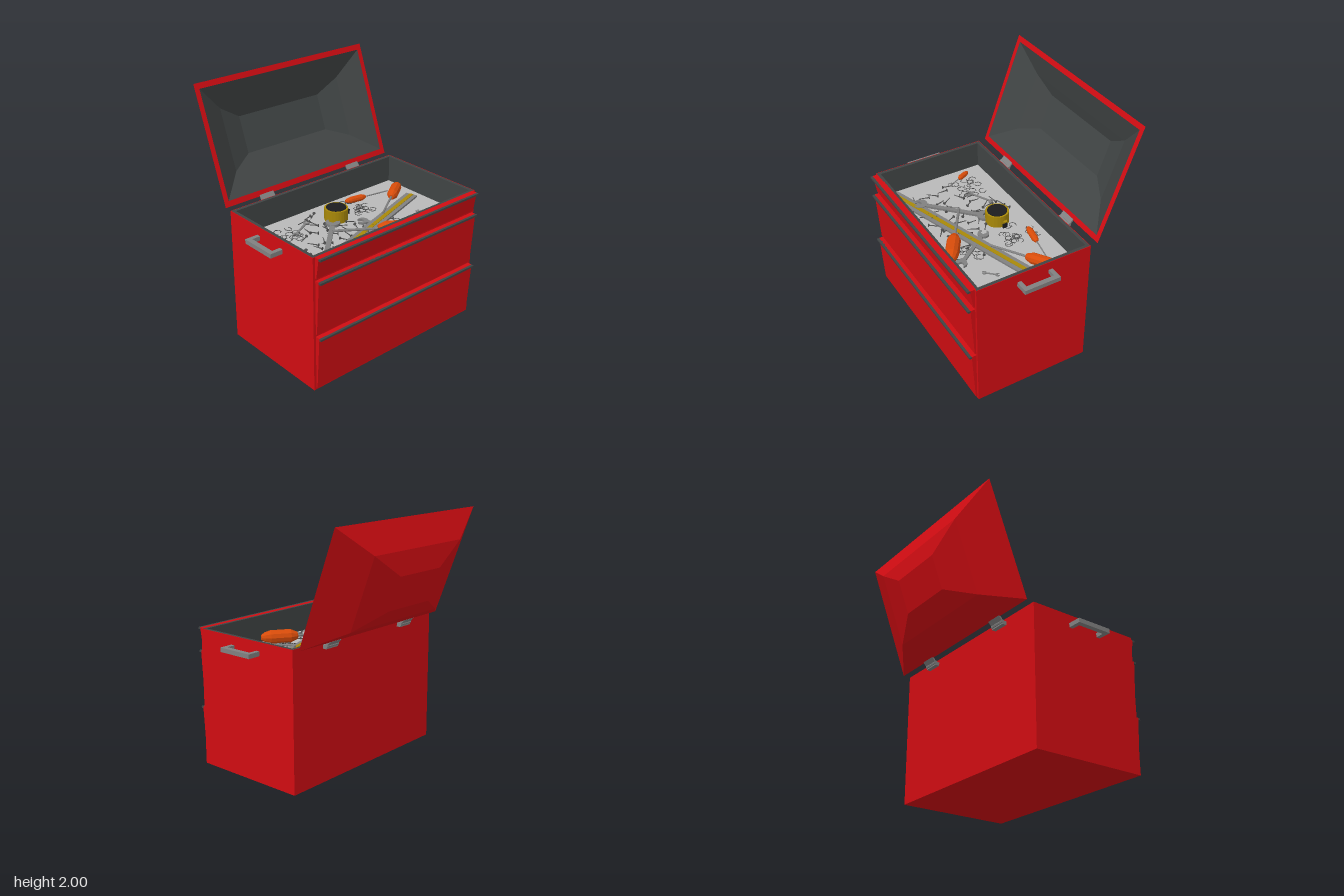
import * as THREE from 'three';
import { mergeGeometries } from 'three/addons/utils/BufferGeometryUtils.js';

const mat = (color, extra = {}) => new THREE.MeshStandardMaterial({ color, flatShading: true, ...extra });
const red = mat(0xd00c12), dark = mat(0x404444), grey = mat(0x808080), pale = mat(0xb8b8b8);
const orange = mat(0xd84c0a), yellow = mat(0xa88808), black = mat(0x1c1c1e), steel = mat(0x505050);

const FLOOR = 0.885, TOP = 1.105, MID_Z = 0.2175;

function add(parent, name, geo, material, x = 0, y = 0, z = 0) {
  const m = new THREE.Mesh(geo, material);
  m.name = name;
  m.position.set(x, y, z);
  parent.add(m);
  return m;
}
const box = (w, h, d) => new THREE.BoxGeometry(w, h, d);

// Upright rectangular frame between two half sizes
function frame(ox, oz, ix, iz, height) {
  const rect = (S, a, b) => new S([[-a, -b], [a, -b], [a, b], [-a, b]].map(p => new THREE.Vector2(...p)));
  const s = rect(THREE.Shape, ox, oz);
  s.holes.push(rect(THREE.Path, ix, iz));
  return new THREE.ExtrudeGeometry(s, { depth: height, bevelEnabled: false }).rotateX(-Math.PI / 2);
}

// Surface through rectangular rings [half width, half height, depth behind the rim]
function loft(rings, centre) {
  const pts = rings.map(([w, h, n]) =>
    [[-w, -h], [w, -h], [w, h], [-w, h]].map(([x, y]) => [x, centre + y, -n]));
  const pos = [];
  for (let r = 0; r + 1 < pts.length; r++) {
    for (let i = 0; i < 4; i++) {
      const j = (i + 1) % 4, a = pts[r], b = pts[r + 1];
      pos.push(...a[i], ...a[j], ...b[j], ...a[i], ...b[j], ...b[i]);
    }
  }
  const g = new THREE.BufferGeometry();
  g.setAttribute('position', new THREE.Float32BufferAttribute(pos, 3));
  g.computeVertexNormals();
  return g;
}

// Group at one floor point whose local +x aims at another; also gives the distance
function layBetween(parent, name, [x0, z0], [x1, z1], y) {
  const g = new THREE.Group();
  g.name = name;
  g.position.set(x0, y, z0);
  g.rotation.y = Math.atan2(z0 - z1, x1 - x0);
  parent.add(g);
  return [g, Math.hypot(x1 - x0, z1 - z0)];
}

function screwdriver(parent, start, neck, tip, r) {
  const [g, len] = layBetween(parent, 'screwdriver', start, tip, FLOOR + r);
  const h = Math.hypot(neck[0] - start[0], neck[1] - start[1]);
  const profile = [[0, 0], [0.4, 0], [0.75, 0.1], [1, 0.25], [1, 0.8], [0.6, 0.97], [0.45, 1], [0, 1]];
  const handle = new THREE.LatheGeometry(profile.map(([a, b]) => new THREE.Vector2(a * r, b * h)), 10);
  add(g, 'screwdriverHandle', handle.rotateZ(-Math.PI / 2), orange);
  const shaft = new THREE.CylinderGeometry(r * 0.2, r * 0.2, len - h, 8).rotateZ(-Math.PI / 2);
  add(g, 'screwdriverShaft', shaft, grey, (len + h) / 2);
  add(g, 'screwdriverTip', box(r * 0.5, r * 0.12, r * 0.5), grey, len - r * 0.25);
}

function wrench(parent, from, to, r) {
  const [g, len] = layBetween(parent, 'wrench', from, to, FLOOR + 0.004);
  const thick = r * 0.4;
  add(g, 'wrenchShaft', box(len - r, thick * 0.8, r * 0.65), grey, len / 2, thick / 2);
  // Open jaw: a disc with a notch
  const jaw = new THREE.Shape();
  jaw.absarc(0, 0, r, 0.5, Math.PI * 2 - 0.5, false);
  jaw.lineTo(r * 0.1, -r * 0.48);
  jaw.lineTo(-r * 0.25, 0);
  jaw.lineTo(r * 0.1, r * 0.48);
  const geo = new THREE.ExtrudeGeometry(jaw, { depth: thick, bevelEnabled: false, curveSegments: 14 }).rotateX(-Math.PI / 2);
  add(g, 'wrenchJaw', geo, grey, len).rotation.y = 0.3;
  add(g, 'wrenchJaw', geo, grey).rotation.y = Math.PI + 0.3;
}

export function createModel() {
  const root = new THREE.Group();
  root.name = 'toolChest';
  let seed = 7;
  const rnd = (a, b) => {
    seed = (seed * 16807) % 2147483647;
    return a + (b - a) * seed / 2147483647;
  };

  // Body: solid base, red walls and dark tray lining
  add(root, 'body', box(1.66, 0.88, 0.965), red, 0, 0.44, MID_Z);
  add(root, 'trayWalls', frame(0.83, 0.4825, 0.826, 0.4785, TOP - 0.88), red, 0, 0.88, MID_Z);
  add(root, 'trayLining', frame(0.826, 0.4785, 0.8, 0.4525, TOP - 0.88), dark, 0, 0.88, MID_Z);
  add(root, 'trayFloor', box(1.6, 0.005, 0.905), pale, 0, FLOOR - 0.0025, MID_Z);

  // Drawer fronts leaning outwards to a dark grip strip
  for (const [top, bottom] of [[TOP, 0.94], [0.92, 0.48], [0.46, 0.02]]) {
    const s = new THREE.Shape([[0.69, bottom], [0.712, bottom], [0.738, top], [0.69, top]].map(p => new THREE.Vector2(...p)));
    const g = new THREE.ExtrudeGeometry(s, { depth: 1.62, bevelEnabled: false }).rotateY(-Math.PI / 2);
    add(root, 'drawerFront', g, red, 0.81);
    add(root, 'drawerGrip', box(1.62, 0.016, 0.025), dark, 0, top - 0.008, 0.745);
  }

  // Open faceted lid
  const lid = new THREE.Group();
  lid.name = 'lid';
  lid.position.set(0, TOP, -0.325);
  lid.rotation.x = -0.358;
  root.add(lid);
  add(lid, 'lidShell', loft([[0, 0, 0.232], [0.24, 0.141, 0.232], [0.52, 0.304, 0.158],
    [0.83, 0.478, 0], [0.79, 0.433, 0]], 0.478), red);
  add(lid, 'lidLining', loft([[0.79, 0.433, 0], [0.59, 0.25, 0.115], [0.4, 0.15, 0.18], [0, 0, 0.18]], 0.478), dark);

  for (const s of [-1, 1]) {
    // Hinge: back plate, knuckle and leaf reaching the lid
    const x = s * 0.445;
    add(root, 'hingePlate', box(0.13, 0.03, 0.035), grey, x, 1.065, -0.2825);
    add(root, 'hingeKnuckle', new THREE.CylinderGeometry(0.015, 0.015, 0.13, 8).rotateZ(Math.PI / 2), grey, x, 1.072, -0.295);
    add(root, 'hingeLeaf', box(0.13, 0.012, 0.055), grey, x, 1.092, -0.312).rotation.x = 0.85;
    // Side handle: two arms and a grip
    add(root, 'handleGrip', box(0.04, 0.035, 0.3), grey, s * 0.918, 1.018, 0.217);
    for (const z of [0.084, 0.35]) add(root, 'handleArm', box(0.075, 0.035, 0.034), grey, s * 0.863, 1.018, z);
  }

  // Ruler with a coloured centre stripe
  const [ruler, rl] = layBetween(root, 'ruler', [-0.765, 0.597], [0.717, 0.125], FLOOR);
  add(ruler, 'rulerBlade', box(rl, 0.016, 0.1), grey, rl / 2, 0.012);
  add(ruler, 'rulerStripe', box(rl, 0.004, 0.034), yellow, rl / 2, 0.021);

  // Tape measure
  const tape = new THREE.Group();
  tape.name = 'tapeMeasure';
  tape.position.set(-0.03, FLOOR, 0.025);
  root.add(tape);
  add(tape, 'tapeCase', new THREE.CylinderGeometry(0.095, 0.095, 0.1, 24), yellow, 0, 0.05);
  add(tape, 'tapeFace', new THREE.CylinderGeometry(0.08, 0.08, 0.006, 24), black, 0, 0.102);
  add(tape, 'tapeMouth', box(0.1, 0.05, 0.03), yellow, 0.065, 0.03, -0.025).rotation.y = -0.3;
  add(tape, 'tapeHook', box(0.008, 0.04, 0.04), black, 0.122, 0.03, 0.0);

  // Screwdrivers: handle end, neck, tip, handle radius
  screwdriver(root, [0.28, 0.61], [0.03, 0.44], [-0.26, 0.245], 0.055);
  screwdriver(root, [0.73, -0.055], [0.51, 0.09], [0.255, 0.26], 0.045);
  screwdriver(root, [0.2, -0.12], [0.385, -0.09], [0.6, -0.045], 0.027);
  screwdriver(root, [-0.72, -0.085], [-0.67, 0.025], [-0.61, 0.15], 0.022);

  // Wrenches
  wrench(root, [-0.515, 0.465], [-0.12, 0.09], 0.057);
  wrench(root, [0.08, 0.215], [0.305, 0.535], 0.045);
  wrench(root, [-0.45, 0.037], [-0.265, -0.06], 0.025);
  wrench(root, [0.475, 0.435], [0.545, 0.36], 0.017);

  // Loose nails, scattered over a jittered grid
  const nails = [];
  const nail = (x, z) => {
    const len = rnd(0.07, 0.11);
    const g = mergeGeometries([
      new THREE.CylinderGeometry(0.005, 0.003, len, 5),
      new THREE.CylinderGeometry(0.014, 0.009, 0.008, 6).translate(0, len / 2, 0),
    ]);
    nails.push(g.rotateZ(Math.PI / 2).rotateY(rnd(0, 6.28)).translate(x, FLOOR + 0.012, z));
  };
  for (let x = -0.6; x < 0.36; x += 0.12) {
    for (let z = 0.13; z < 0.62; z += 0.095) {
      if (x < 0.1 || z > 0.3) nail(x + rnd(-0.03, 0.03), z + rnd(-0.03, 0.03));
    }
  }
  for (let i = 0; i < 8; i++) nail(rnd(-0.4, -0.15), rnd(-0.12, 0.12));
  add(root, 'nails', mergeGeometries(nails), steel);

  // Loose open rings in three heaps: centre, half spread, count
  const rings = [];
  for (const [cx, cz, dx, dz, n] of [[-0.53, 0.01, 0.11, 0.11, 20], [0.19, -0.02, 0.11, 0.14, 20], [0.24, 0.4, 0.09, 0.08, 9]]) {
    for (let i = 0; i < n; i++) {
      const g = new THREE.TorusGeometry(0.03, 0.003, 4, 5, 5).rotateX(Math.PI / 2 + rnd(-0.15, 0.15)).rotateY(rnd(0, 6.28));
      rings.push(g.translate(cx + rnd(-dx, dx), FLOOR + rnd(0.004, 0.012), cz + rnd(-dz, dz)));
    }
  }
  add(root, 'looseRings', mergeGeometries(rings), steel);
  return root;
}
